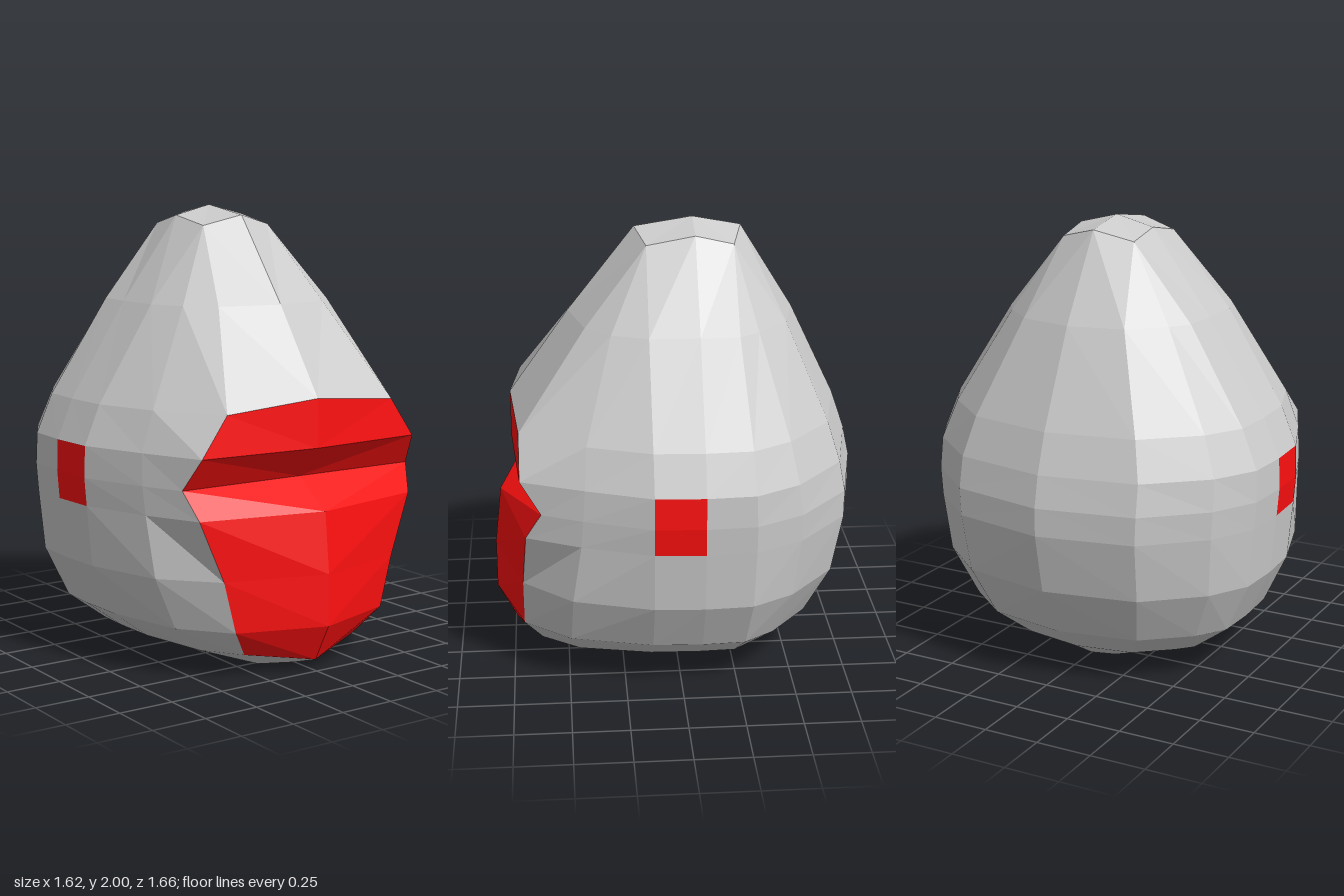
import * as THREE from 'three';

// One row per height, base to top:
// y, half width, back z, z of front cheek, face edge x, face edge z, ridge y, ridge z
const ROWS = [
  [0.00, 0.20, -0.34, 0.36, 0.15, 0.52, 0.00, 0.59],
  [0.09, 0.49, -0.49, 0.45, 0.295, 0.62, 0.05, 0.74],
  [0.22, 0.665, -0.65, 0.49, 0.395, 0.70, 0.22, 0.83],
  [0.45, 0.775, -0.775, 0.48, 0.455, 0.70, 0.45, 0.83],
  [0.72, 0.80, -0.83, 0.44, 0.565, 0.68, 0.72, 0.80],
  [0.845, 0.81, -0.83, 0.43, 0.605, 0.61, 0.845, 0.61],
  [0.985, 0.805, -0.80, 0.42, 0.565, 0.70, 0.985, 0.74],
  [1.16, 0.73, -0.74, 0.41, 0.44, 0.70, 1.20, 0.74],
  [1.58, 0.46, -0.54, 0.29, 0.28, 0.40, 1.58, 0.47],
];
const HALF = 8; // columns from front ridge to back ridge on one side
const LOOP = HALF * 2;

// Left half of a ring, from front ridge round to back ridge
function halfRing([y, w, back, cheekZ, edgeX, edgeZ, ridgeY, ridgeZ]) {
  const k = (-0.09 - back) / 0.745;
  return [
    [0, ridgeY, ridgeZ],
    [edgeX, y, edgeZ],
    [w * 0.85, y, cheekZ],
    [w * 0.985, y, 0.13],
    [w, y, -0.09],
    [w * 0.985, y, -0.09 - 0.22 * Math.sqrt(k)],
    [w * 0.85, y, -0.09 - 0.43 * k],
    [w * 0.54, y, -0.09 - 0.655 * k],
    [0, y, back],
  ];
}

// Mirror a half ring into a closed loop
function closeRing(half) {
  const other = half.slice(1, HALF).reverse().map(([x, y, z]) => [-x, y, z]);
  return [...half, ...other];
}

function makeMesh(name, triangles, color) {
  const geometry = new THREE.BufferGeometry();
  geometry.setAttribute('position', new THREE.Float32BufferAttribute(triangles.flat(2), 3));
  geometry.computeVertexNormals();
  const mesh = new THREE.Mesh(geometry, new THREE.MeshStandardMaterial({ color, flatShading: true }));
  mesh.name = name;
  return mesh;
}

export function createModel() {
  const group = new THREE.Group();
  group.name = 'pearHead';

  // The columns gather into a small hexagon at the crown
  const a = [0.175, 1.915, 0.125], b = [0.18, 1.955, -0.09], c = [0.175, 1.915, -0.26];
  const crownRing = [[0, 1.96, 0.17], a, a, a, b, c, c, c, [0, 1.96, -0.305]];
  const rings = [...ROWS.map(halfRing), crownRing].map(closeRing);
  const parts = { body: [], crown: [], base: [], facePanel: [], leftPatch: [], rightPatch: [] };

  const add = (name, p, q, r) => {
    const same = (u, v) => u.every((n, i) => n === v[i]);
    if (!same(p, q) && !same(q, r) && !same(r, p)) parts[name].push([p, q, r]);
  };

  // Which part a cell of the shell belongs to
  const partAt = (row, col) => {
    if (row >= 1 && row <= 6 && (col === 0 || col === LOOP - 1)) return 'facePanel';
    if (row === 4 || row === 5) {
      if (col === 3) return 'leftPatch';
      if (col === LOOP - 4) return 'rightPatch';
    }
    return 'body';
  };

  // Shell between the rings, with mirrored diagonals
  for (let i = 0; i < rings.length - 1; i++) {
    for (let j = 0; j < LOOP; j++) {
      const n = (j + 1) % LOOP;
      const p = rings[i][j], q = rings[i][n], r = rings[i + 1][n], s = rings[i + 1][j];
      const name = partAt(i, j);
      if (j < HALF) {
        add(name, p, q, r);
        add(name, p, r, s);
      } else {
        add(name, p, q, s);
        add(name, q, r, s);
      }
    }
  }

  // Crown and base closing fans
  const top = rings[rings.length - 1];
  for (let j = 0; j < LOOP; j++) {
    const n = (j + 1) % LOOP;
    add('crown', [0, 2, -0.09], top[j], top[n]);
    add('base', [0, 0, 0.1], rings[0][n], rings[0][j]);
  }

  const red = ['facePanel', 'leftPatch', 'rightPatch'];
  for (const [name, triangles] of Object.entries(parts)) {
    group.add(makeMesh(name, triangles, red.includes(name) ? 0xff1010 : 0xcccccc));
  }
  return group;
}
